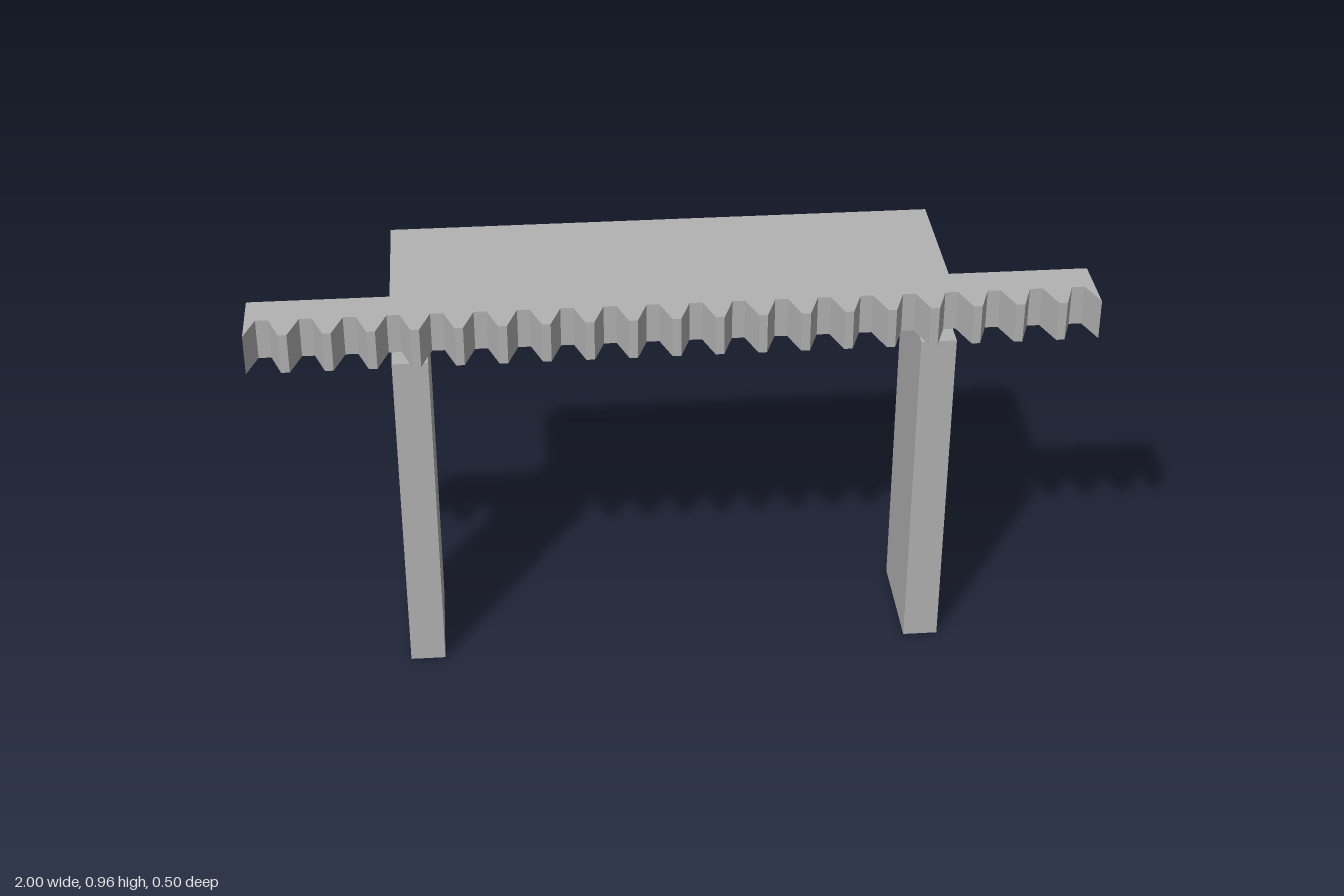
import * as THREE from 'three';

const BOTTOM = 0.86, TOP = 0.96;   // height span of the plate and rack
const HALF = 0.665;                // half width of the plate

export function createModel() {
  const grey = new THREE.MeshStandardMaterial({ color: 0xb2b2b2 });
  grey.name = 'grey';
  const model = new THREE.Group();
  model.name = 'toothedRackStand';

  const add = (name, geometry) => {
    const mesh = new THREE.Mesh(geometry, grey);
    mesh.name = name;
    model.add(mesh);
  };
  const box = (name, x0, x1, y0, y1, z0, z1) => {
    const g = new THREE.BoxGeometry(x1 - x0, y1 - y0, z1 - z0);
    g.translate((x0 + x1) / 2, (y0 + y1) / 2, (z0 + z1) / 2);
    add(name, g);
  };

  // Flat plate behind the rack
  box('plate', -HALF, HALF, BOTTOM, TOP, -0.248, 0.107);

  // Two broad legs, flush with the plate ends
  box('leftLeg', 0.58, HALF, 0, BOTTOM, -0.046, 0.231);
  box('rightLeg', -HALF, -0.58, 0, BOTTOM, -0.046, 0.231);

  // Rack outline seen from above: straight back, twenty trapezoid gaps in front
  const tip = 0.248, root = 0.176, back = 0.087, backLow = 0.127;
  const gaps = 20, pitch = 0.101, flank = 0.0255;
  const gapWidth = 2 - pitch * (gaps - 1);
  const outline = new THREE.Shape();
  outline.moveTo(-1, -back);
  for (let i = 0; i < gaps; i++) {
    const x = -1 + i * pitch;
    outline.lineTo(x, -tip);
    outline.lineTo(x + flank, -root);
    outline.lineTo(x + gapWidth - flank, -root);
    outline.lineTo(x + gapWidth, -tip);
  }
  outline.lineTo(1, -back);
  outline.closePath();
  const rack = new THREE.ExtrudeGeometry(outline, { depth: TOP - BOTTOM, bevelEnabled: false });
  rack.rotateX(-Math.PI / 2).translate(0, BOTTOM, 0);

  // Lean the back face: its lower edge moves forward
  const p = rack.attributes.position;
  for (let i = 0; i < p.count; i++) {
    if (p.getZ(i) < 0.1 && p.getY(i) < BOTTOM + 0.01) p.setZ(i, backLow);
  }
  rack.computeVertexNormals();
  add('toothedRack', rack);

  return model;
}
